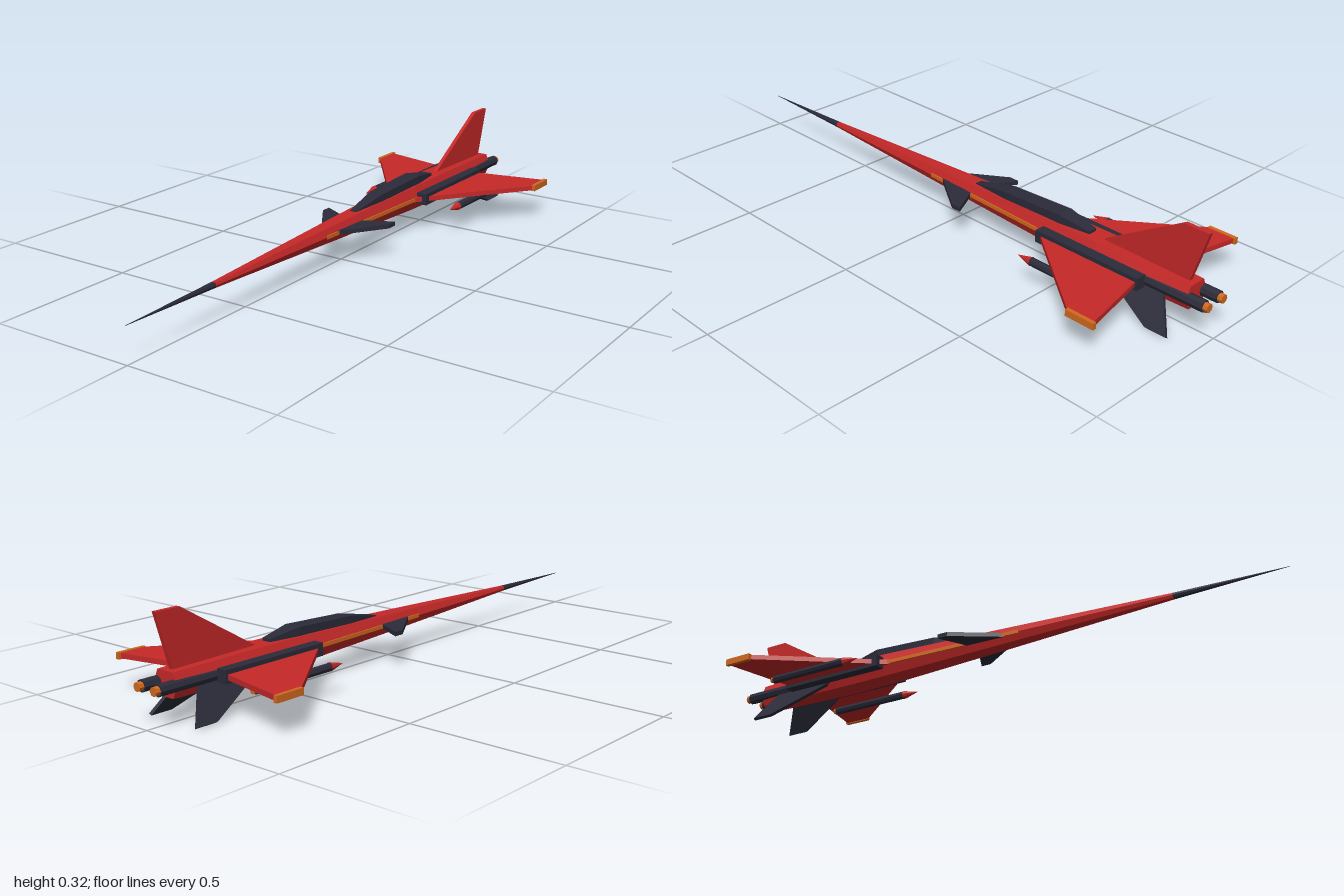
import * as THREE from 'three';

const mat = (name, color) => {
  const m = new THREE.MeshStandardMaterial({ color, flatShading: true });
  m.name = name;
  return m;
};

// Skin between rings of [x, y, z] points, closed at both ends.
// Rings run anticlockwise seen from the first ring's outer side; s = -1 mirrors in x.
function loft(rings, s = 1) {
  const rs = rings.map(r => {
    const q = r.map(([x, y, z]) => [x * s, y, z]);
    return s < 0 ? q.reverse() : q;
  });
  const pos = [], n = rs[0].length;
  const tri = (a, b, c) => pos.push(...a, ...b, ...c);
  for (let i = 0; i < rs.length - 1; i++) {
    for (let k = 0; k < n; k++) {
      const j = (k + 1) % n, a = rs[i], b = rs[i + 1];
      tri(a[k], b[k], b[j]);
      tri(a[k], b[j], a[j]);
    }
  }
  const first = rs[0], last = rs[rs.length - 1];
  for (let k = 1; k < n - 1; k++) {
    tri(first[0], first[k], first[k + 1]);
    tri(last[0], last[k + 1], last[k]);
  }
  const g = new THREE.BufferGeometry();
  g.setAttribute('position', new THREE.Float32BufferAttribute(pos, 3));
  g.computeVertexNormals();
  return g;
}

const CY = 0.116; // height of the centre line

// Six-sided body section
const hex = (z, w, h) => [[1, 0], [0.68, 1], [-0.68, 1], [-1, 0], [-0.68, -1], [0.68, -1]]
  .map(([x, y]) => [x * w, CY + y * h, z]);
// Rectangular section
const rect = (z, x0, x1, y0, y1) => [[x1, y0, z], [x1, y1, z], [x0, y1, z], [x0, y0, z]];
// Flat plate from [x, z] corners
const flat = (pts, y0, y1) => [y1, y0].map(y => pts.map(([x, z]) => [x, y, z]));

export function createModel() {
  const red = mat('red', 0xc62828);
  const dark = mat('dark', 0x2b2b3a);
  const orange = mat('orange', 0xd2691e);
  const model = new THREE.Group();
  model.name = 'jet';

  const add = (name, geometry, material, x = 0, y = 0, z = 0) => {
    const m = new THREE.Mesh(geometry, material);
    m.name = name;
    m.position.set(x, y, z);
    model.add(m);
  };
  // Round part along z, from z0 (front) to z1 (rear)
  const rod = (name, material, x, y, z0, z1, rFront, rRear, sides = 8) => {
    const g = new THREE.CylinderGeometry(rFront, rRear, z0 - z1, sides);
    g.rotateX(Math.PI / 2);
    add(name, g, material, x, y, (z0 + z1) / 2);
  };

  // Body and needle nose
  add('fuselage', loft([
    hex(0.64, 0.010, 0.008), hex(0.05, 0.034, 0.027), hex(-0.4, 0.052, 0.040),
    hex(-0.6, 0.055, 0.042), hex(-0.93, 0.046, 0.037),
  ]), red);
  add('noseNeedle', loft([hex(1, 0.0004, 0.0004), hex(0.64, 0.010, 0.008)]), dark);

  // Canopy
  add('canopy', loft([
    rect(-0.07, -0.012, 0.012, 0.130, 0.148), rect(-0.21, -0.026, 0.026, 0.135, 0.175),
    rect(-0.44, -0.029, 0.029, 0.140, 0.184), rect(-0.55, -0.015, 0.015, 0.140, 0.166),
  ]), dark);

  // Upright tail
  const tail = [[0.14, -0.57], [0.14, -0.905], [0.322, -0.96], [0.322, -0.875]];
  add('tailFin', loft([0.007, -0.007].map(x => tail.map(([y, z]) => [x, y, z]))), red);

  for (const s of [1, -1]) {
    const side = s > 0 ? 'left' : 'right';

    // Wings with tip rails
    add(side + 'Wing', loft(flat(
      [[0.04, -0.36], [0.322, -0.735], [0.322, -0.83], [0.04, -0.77]], 0.108, 0.124), s), red);
    add(side + 'WingTip', new THREE.BoxGeometry(0.013, 0.021, 0.1), orange, s * 0.3255, CY, -0.787);

    // Canards
    add(side + 'Canard', loft(flat(
      [[0.025, 0.075], [0.132, -0.085], [0.132, -0.12], [0.025, -0.065]], 0.109, 0.123), s), dark);

    // Splayed belly fins
    const nx = 0.0044, ny = 0.0025;
    const fin = [[0.04, 0.102, -0.61], [0.0955, 0.004, -0.835], [0.0955, 0.004, -0.91], [0.04, 0.102, -0.85]];
    add(side + 'BellyFin', loft([1, -1].map(d =>
      fin.map(([x, y, z]) => [x + d * nx, y + d * ny, z])), s), dark);

    // Air intakes
    add(side + 'Intake', new THREE.BoxGeometry(0.036, 0.040, 0.39), dark, s * 0.066, 0.117, -0.592);

    // Side stripes
    add(side + 'Stripe', loft([[0.12, 0.031], [0.05, 0.034], [-0.4, 0.052]].map(([z, w]) =>
      rect(z, w - 0.005, w + 0.002, CY - 0.006, CY + 0.006)), s), orange);

    // Engines
    rod(side + 'Engine', dark, s * 0.034, CY, -0.7, -0.985, 0.019, 0.019);
    rod(side + 'Nozzle', orange, s * 0.034, CY, -0.97, -1, 0.014, 0.014);

    // Missiles under the wings
    rod(side + 'MissileNose', red, s * 0.172, 0.093, -0.41, -0.465, 0.0005, 0.0145);
    rod(side + 'MissileBody', dark, s * 0.172, 0.093, -0.465, -0.76, 0.0135, 0.0135);
    rod(side + 'MissileExhaust', orange, s * 0.172, 0.093, -0.76, -0.772, 0.010, 0.010);
  }
  return model;
}
